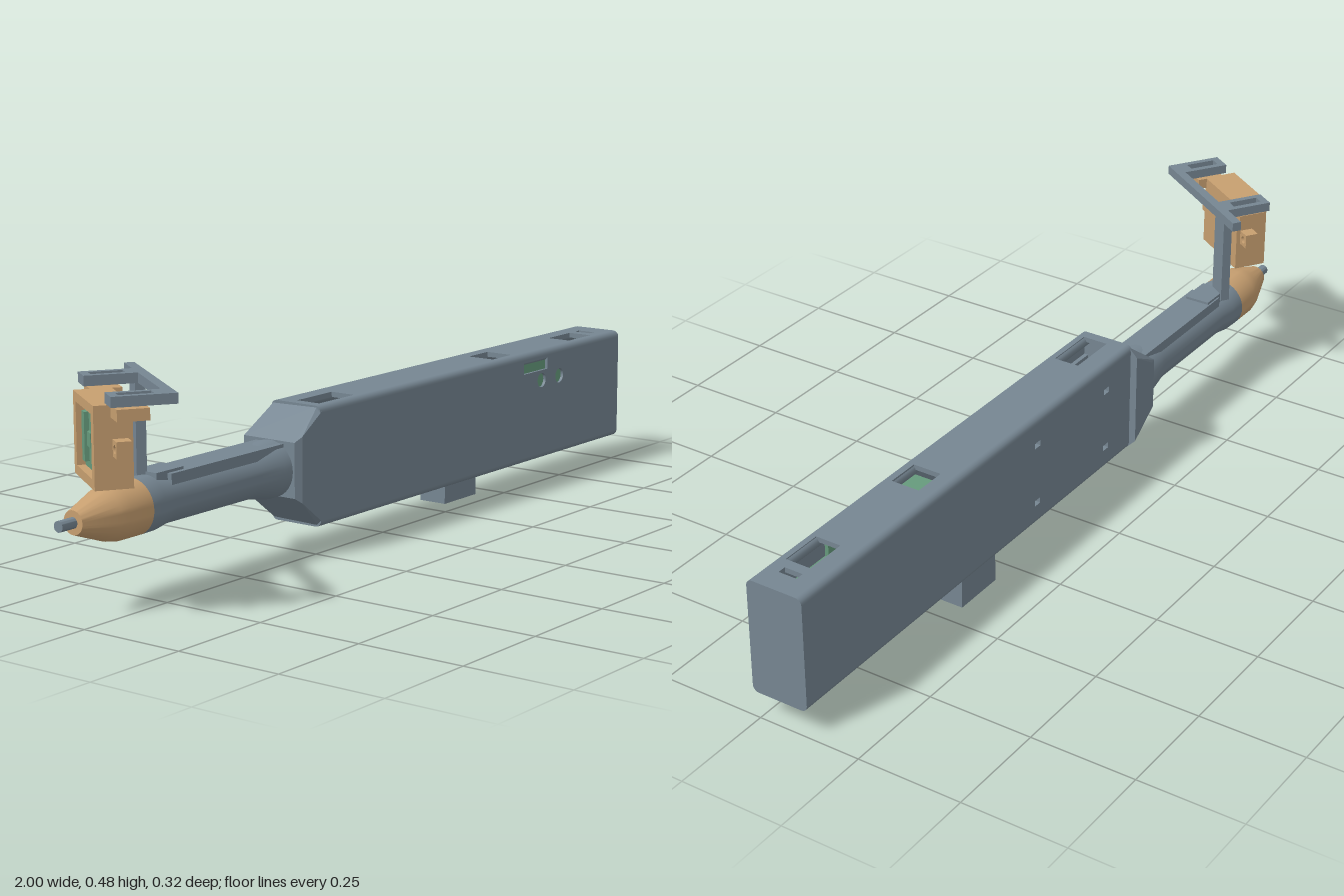
import * as THREE from 'three';
import { toCreasedNormals } from 'three/addons/utils/BufferGeometryUtils.js';
import { ConvexGeometry } from 'three/addons/geometries/ConvexGeometry.js';

export function createModel() {
  const make = (name, color) => {
    const m = new THREE.MeshStandardMaterial({ color });
    m.name = name;
    return m;
  };
  const grey = make('slate grey', 0x768692);
  const tan = make('tan', 0xc79f70);
  const green = make('circuit green', 0x669a7c);

  const model = new THREE.Group();
  const add = (name, geo, mat, parent = model) => {
    const m = new THREE.Mesh(geo, mat);
    m.name = name;
    parent.add(m);
    return m;
  };
  // Box given by its limits
  const box = (name, x0, x1, y0, y1, z0, z1, mat, parent) => {
    const m = add(name, new THREE.BoxGeometry(x1 - x0, y1 - y0, z1 - z0), mat, parent);
    m.position.set((x0 + x1) / 2, (y0 + y1) / 2, (z0 + z1) / 2);
    return m;
  };
  const rect = (x0, x1, y0, y1, P = THREE.Path) =>
    new P().moveTo(x0, y0).lineTo(x1, y0).lineTo(x1, y1).lineTo(x0, y1).closePath();
  const circle = (x, y, r) => new THREE.Path().absarc(x, y, r, 0, Math.PI * 2);
  // Plate with holes, extruded from z to z + depth
  const panel = (x0, x1, y0, y1, holes, depth) => {
    const s = rect(x0, x1, y0, y1, THREE.Shape);
    s.holes.push(...holes);
    return new THREE.ExtrudeGeometry(s, { depth, bevelEnabled: false, curveSegments: 16 });
  };
  // Horizontal plate: outline in x and z, hanging down from its top
  const flat = (name, x0, x1, z0, z1, holes, top, depth, mat, parent) => {
    const m = add(name, panel(x0, x1, z0, z1, holes, depth), mat, parent);
    m.rotation.x = Math.PI / 2;
    m.position.y = top;
    return m;
  };

  // Hollow housing: four walls, rounded long edges and an end cap
  const L = -0.25, R = 1, B = 0.063, T = 0.338, F = 0.015, K = -0.124, r = 0.015, t = 0.012;
  const front = add('housingFront', panel(L, R, B + r, T - r, [
    rect(0.56, 0.665, 0.288, 0.316), circle(0.64, 0.263, 0.018), circle(0.72, 0.263, 0.018),
  ], t), grey);
  front.position.z = F - t;
  const mounts = [];
  for (const x of [-0.14, 0.15]) for (const y of [0.12, 0.27]) mounts.push(rect(x - 0.011, x + 0.011, y - 0.007, y + 0.007));
  add('housingBack', panel(L, R, B + r, T - r, mounts, t), grey).position.z = K;
  flat('housingTop', L, R, K + r, F - r, [
    rect(-0.225, -0.1, -0.07, -0.008), rect(0.46, 0.54, -0.08, -0.01), rect(0.8, 0.9, -0.07, -0.008),
    rect(0.925, 0.945, -0.07, -0.025),
  ], T, t, grey);
  flat('housingBottom', L, R, K + r, F - r, [
    rect(-0.21, -0.09, -0.07, -0.008), rect(0.6, 0.74, -0.06, -0.015), rect(0.79, 0.9, -0.07, -0.008),
  ], B + t, t, grey);
  for (const y of [B + r, T - r]) for (const z of [K + r, F - r]) {
    const edge = add('housingEdge', new THREE.CylinderGeometry(r, r, R - L, 20), grey);
    edge.rotation.z = Math.PI / 2;
    edge.position.set((L + R) / 2, y, z);
  }
  box('housingEnd', R - t, R, B + r, T - r, K, F, grey);
  box('housingEndMiddle', R - t, R, B, T, K + r, F - r, grey);
  box('foot', 0.315, 0.445, 0, B + 0.005, -0.12, -0.048, grey);

  // Electronics behind the openings
  box('displayBoard', 0.54, 0.76, 0.23, 0.322, -0.006, 0.008, green);
  box('topSocket', 0.47, 0.53, 0.29, 0.322, -0.065, -0.02, green);
  box('sideBoard', 0.82, 0.95, 0.1, 0.315, -0.062, -0.045, green);
  box('bottomSocket', 0.61, 0.73, 0.07, 0.1, -0.058, -0.017, green);
  box('topBar', -0.2, -0.12, 0.29, 0.31, -0.035, -0.025, grey);
  for (const [x0, x1] of [[0.455, 0.545], [0.595, 0.745]]) box('innerTray', x0, x1, 0.2, 0.21, -0.11, 0, grey);

  // Tapered collar joining the housing to the grip
  const pts = [];
  for (const [x, y0, y1, z] of [
    [-0.33, 0.142, 0.268, 0.005], [-0.33, 0.142, 0.268, -0.138],
    [-0.245, B + 0.012, T - 0.012, F], [-0.245, B, T, 0.003],
    [-0.245, B + 0.002, T - 0.003, -0.118], [-0.245, 0.088, 0.312, -0.141],
    [-0.315, 0.13, 0.28, F], [-0.315, 0.142, 0.268, -0.141],
  ]) pts.push(new THREE.Vector3(x, y0, z), new THREE.Vector3(x, y1, z));
  add('collar', new ConvexGeometry(pts), grey);

  // Turned grip, nose and tip, from [x, radius] profiles
  const turned = (name, profile, mat) => {
    const geo = new THREE.LatheGeometry(profile.map(([x, rad]) => new THREE.Vector2(rad, -x)), 40);
    const m = add(name, toCreasedNormals(geo, 0.5), mat);
    m.rotation.z = Math.PI / 2;
    m.position.set(0, 0.202, -0.065);
  };
  turned('grip', [[-0.3, 0.065], [-0.355, 0.065], [-0.42, 0.053], [-0.7, 0.053], [-0.74, 0.06], [-0.78, 0.061], [-0.78, 0]], grey);
  turned('nose', [[-0.78, 0], [-0.78, 0.061], [-0.845, 0.061], [-0.872, 0.056], [-0.957, 0.026], [-0.957, 0]], tan);
  turned('tip', [[-0.95, 0.012], [-1, 0.012], [-1, 0]], grey);
  box('gripRail', -0.7, -0.32, 0.22, 0.262, -0.104, -0.026, grey);
  box('postBase', -0.735, -0.65, 0.22, 0.268, -0.1, -0.037, grey);

  // Angled bracket: local x runs along the bar, local z towards the arms
  const bracket = new THREE.Group();
  bracket.name = 'bracket';
  bracket.position.set(-0.68, 0, -0.143);
  bracket.rotation.y = Math.atan2(-0.83, -0.56);
  model.add(bracket);
  box('post', 0.046, 0.094, 0.25, 0.461, 0, 0.022, grey, bracket);
  box('bracketBar', 0, 0.361, 0.461, 0.483, 0, 0.022, grey, bracket);
  for (const x of [0.07, 0.309]) {
    flat('bracketArm', x, x + 0.052, 0.02, 0.136, [rect(x + 0.014, x + 0.038, 0.045, 0.118)], 0.483, 0.022, grey, bracket);
    flat('sensorEar', x + (x < 0.2 ? 0.005 : -0.005), x + (x < 0.2 ? 0.065 : 0.055), 0.058, 0.125,
      [circle(x + 0.026, 0.075, 0.009), circle(x + 0.026, 0.106, 0.009)], 0.457, 0.025, tan, bracket);
  }

  // Sensor block with a framed circuit board facing away from the bar
  box('sensorBody', 0.13, 0.31, 0.285, 0.457, 0.08, 0.135, tan, bracket);
  add('sensorFrame', panel(0.13, 0.31, 0.285, 0.457, [rect(0.152, 0.288, 0.305, 0.437)], 0.026), tan, bracket).position.z = 0.134;
  box('sensorBoard', 0.152, 0.288, 0.305, 0.437, 0.134, 0.142, green, bracket);
  for (const x of [0.168, 0.25]) box('boardStrip', x, x + 0.022, 0.32, 0.422, 0.14, 0.152, green, bracket);
  box('boardChip', 0.205, 0.235, 0.356, 0.386, 0.14, 0.15, green, bracket);
  for (const x of [0.098, 0.305]) {
    add('sensorLug', panel(x, x + 0.037, 0.353, 0.388, [circle(x + (x < 0.2 ? 0.016 : 0.021), 0.37, 0.009)], 0.032), tan, bracket)
      .position.z = 0.09;
  }
  return model;
}
